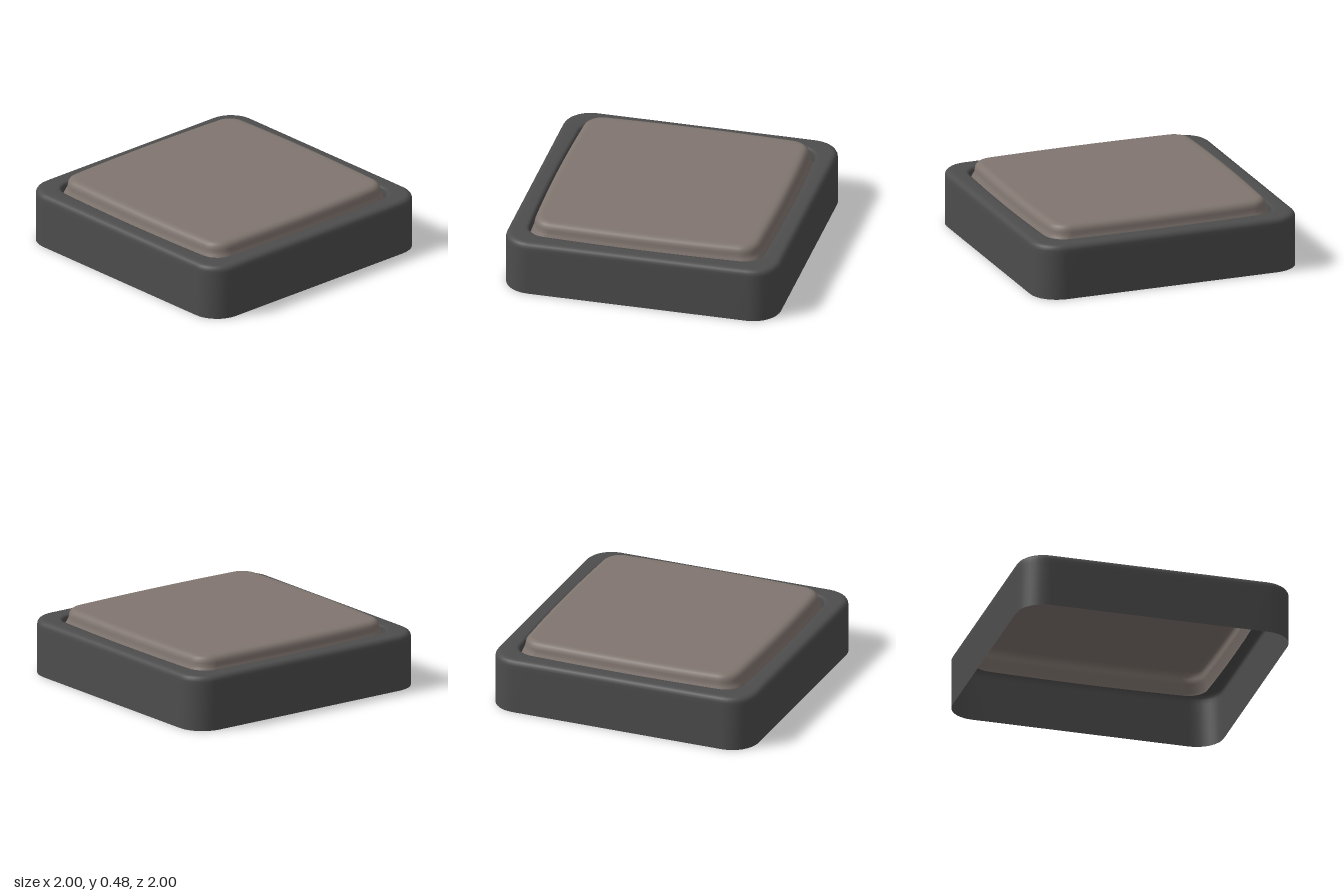
import * as THREE from 'three';

const ARC = 8, EDGE = 10;

// Rounded square outline with half width h, corner radius r and sides bowed by b
function outline(h, r, b) {
  const pts = [];
  for (let q = 0; q < 4; q++) {
    const turn = q * Math.PI / 2, c = Math.cos(turn), s = Math.sin(turn);
    const side = [];
    for (let i = 0; i < EDGE; i++) side.push([h, (h - r) * (2 * i / EDGE - 1)]);
    for (let i = 0; i < ARC; i++) {
      const a = i / ARC * Math.PI / 2;
      side.push([h - r + r * Math.cos(a), h - r + r * Math.sin(a)]);
    }
    for (const [x, z] of side) {
      const k = h > 0 ? b / (h * h) : 0;
      const bx = x * (1 - k * z * z), bz = z * (1 - k * x * x);
      pts.push([bx * c - bz * s, bx * s + bz * c]);
    }
  }
  return pts;
}

// Skin through rows of [half width, height, corner radius, bow]
function loft(rows) {
  const pos = [], index = [], n = 4 * (ARC + EDGE);
  rows.forEach(([h, y, r, b]) => outline(h, r, b).forEach(([x, z]) => pos.push(x, y, z)));
  for (let j = 0; j < rows.length - 1; j++) {
    for (let i = 0; i < n; i++) {
      const a = j * n + i, d = j * n + (i + 1) % n;
      index.push(a, a + n, d, d, a + n, d + n);
    }
  }
  const g = new THREE.BufferGeometry();
  g.setAttribute('position', new THREE.Float32BufferAttribute(pos, 3));
  g.setIndex(index);
  g.computeVertexNormals();
  return g;
}

// Quarter-round rows turning from a wall at half width h to a flat top at height y
function fillet(h, y, f, r, b) {
  return [0, 1, 2, 3, 4].map(i => {
    const a = i / 4 * Math.PI / 2, inset = f * (1 - Math.cos(a));
    return [h - inset, y - f + f * Math.sin(a), r - inset, b];
  });
}

export function createModel() {
  const charcoal = new THREE.MeshStandardMaterial({ color: 0x4d4d4d, side: THREE.DoubleSide });
  charcoal.name = 'charcoal';
  const taupe = new THREE.MeshStandardMaterial({ color: 0x80756f, side: THREE.DoubleSide });
  taupe.name = 'taupe';

  const group = new THREE.Group();
  const add = (name, rows, material) => {
    const mesh = new THREE.Mesh(loft(rows), material);
    mesh.name = name;
    group.add(mesh);
  };

  // Open-bottomed housing with a rim that rolls down into the button opening
  add('housing', [
    [1, 0, 0.2, 0],
    [1, 0.33, 0.2, 0],
    ...fillet(1, 0.4, 0.04, 0.2, 0),
    [0.94, 0.4, 0.16, 0],
    [0.895, 0.4, 0.15, 0.025],
    [0.88, 0.396, 0.14, 0.025],
    [0.872, 0.385, 0.135, 0.025],
    [0.87, 0.34, 0.13, 0.025],
  ], charcoal);

  // Hollow button cap: flared skirt, short wall, rounded edge and flat top
  add('buttonCap', [
    [0.87, 0.32, 0.13, 0.025],
    [0.866, 0.34, 0.13, 0.025],
    [0.845, 0.395, 0.13, 0.025],
    [0.84, 0.41, 0.13, 0.025],
    ...fillet(0.838, 0.48, 0.05, 0.13, 0.025),
    [0.76, 0.48, 0.07, 0.02],
    [0, 0.48, 0, 0],
  ], taupe);

  return group;
}
